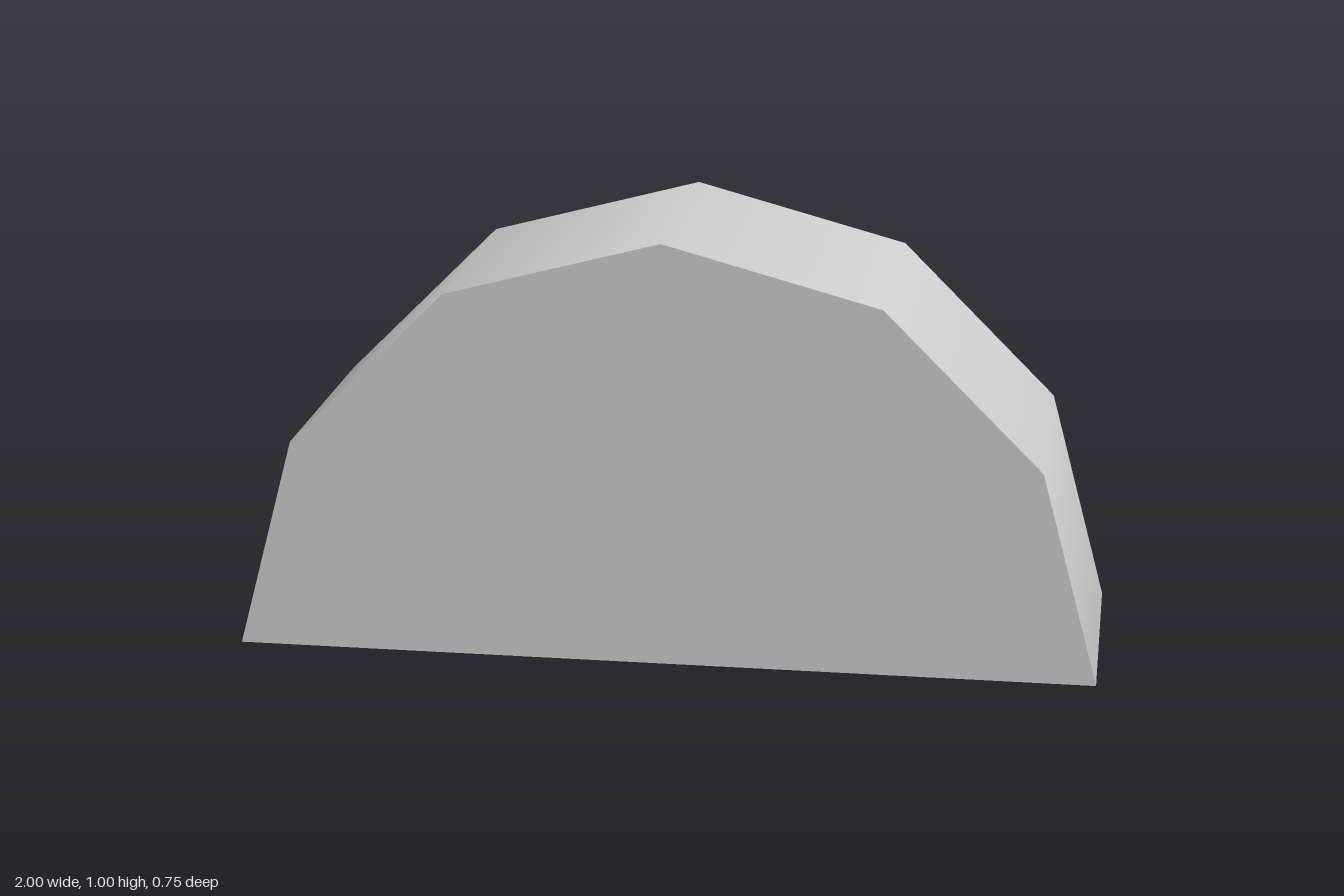
import * as THREE from 'three';

const SIDES = 6;          // facets around the half circle
const FRONT = 0.375;      // z of the closed front
const BACK = -0.375;      // z of the open back
const RIM = -0.25;        // z where the bevel meets the outer wall
const LEDGE = -0.125;     // z of the ledge inside the wall
const INNER = 0.757;      // radius of the back opening

const grey = new THREE.MeshStandardMaterial({ color: 0xcccccc, side: THREE.DoubleSide });
grey.name = 'light grey';

// Half-ring strip swept about the z axis between two (radius, z) points
function strip(name, r0, z0, r1, z1) {
  const profile = [new THREE.Vector2(r0, z0), new THREE.Vector2(r1, z1)];
  const geometry = new THREE.LatheGeometry(profile, SIDES, Math.PI / 2, Math.PI);
  geometry.rotateX(Math.PI / 2);
  const mesh = new THREE.Mesh(geometry, grey);
  mesh.name = name;
  return mesh;
}

export function createModel() {
  const group = new THREE.Group();
  group.name = 'halfRoundShell';

  // Closed front
  const front = new THREE.Mesh(new THREE.CircleGeometry(1, SIDES, 0, Math.PI), grey);
  front.name = 'frontPlate';
  front.position.z = FRONT;
  group.add(front);

  // Thin outer wall and the thick lip round the back opening
  group.add(
    strip('outerWall', 1, RIM, 1, FRONT),
    strip('backBevel', INNER, BACK, 1, RIM),
    strip('innerLip', INNER, LEDGE, INNER, BACK),
    strip('innerLedge', 1, LEDGE, INNER, LEDGE)
  );

  // Feet closing the two ends of the lip
  for (const side of [1, -1]) {
    const outline = new THREE.Shape([
      new THREE.Vector2(side, LEDGE),
      new THREE.Vector2(side, RIM),
      new THREE.Vector2(side * INNER, BACK),
      new THREE.Vector2(side * INNER, LEDGE),
    ]);
    const foot = new THREE.Mesh(new THREE.ShapeGeometry(outline), grey);
    foot.name = side > 0 ? 'leftLipEnd' : 'rightLipEnd';
    foot.rotation.x = Math.PI / 2;
    group.add(foot);
  }
  return group;
}
